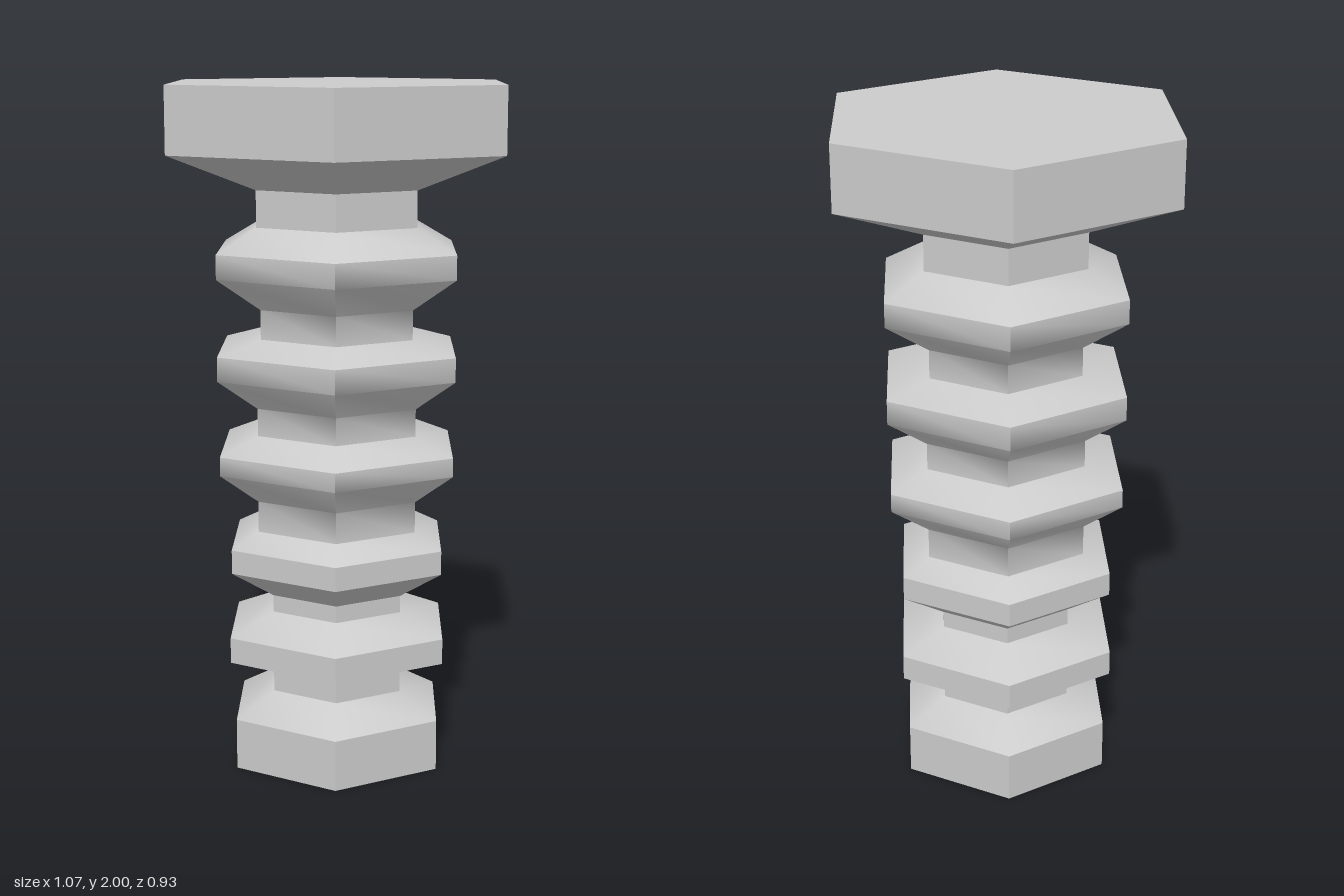
import * as THREE from 'three';
import { toCreasedNormals } from 'three/addons/utils/BufferGeometryUtils.js';

// Each band of the hexagonal bolt: corner radius, bottom y, top y
const BANDS = [
  [0.34, 0, 0.15],       // foot
  [0.215, 0.22, 0.285],
  [0.357, 0.33, 0.405],  // rib
  [0.215, 0.465, 0.515],
  [0.35, 0.6, 0.67],     // rib
  [0.262, 0.715, 0.805],
  [0.384, 0.895, 0.95],  // rib
  [0.262, 1.0, 1.08],
  [0.389, 1.17, 1.24],   // rib
  [0.25, 1.28, 1.365],
  [0.389, 1.46, 1.53],   // rib
  [0.262, 1.6, 1.705],
  [0.537, 1.81, 2],      // head
];

export function createModel() {
  const model = new THREE.Group();
  model.name = 'hexBolt';

  // Closed profile from the underside centre up to the top centre
  const profile = [new THREE.Vector2(0, 0)];
  for (const [radius, bottom, top] of BANDS) {
    profile.push(new THREE.Vector2(radius, bottom), new THREE.Vector2(radius, top));
  }
  profile.push(new THREE.Vector2(0, 2));

  // Six-sided loft with corners on the x axis; softer bends stay smooth
  const loft = new THREE.LatheGeometry(profile, 6, Math.PI / 2);
  const bolt = new THREE.Mesh(
    toCreasedNormals(loft, THREE.MathUtils.degToRad(53)),
    new THREE.MeshStandardMaterial({ color: 0xcccccc })
  );
  bolt.name = 'ribbedShaftAndHead';
  model.add(bolt);
  return model;
}
